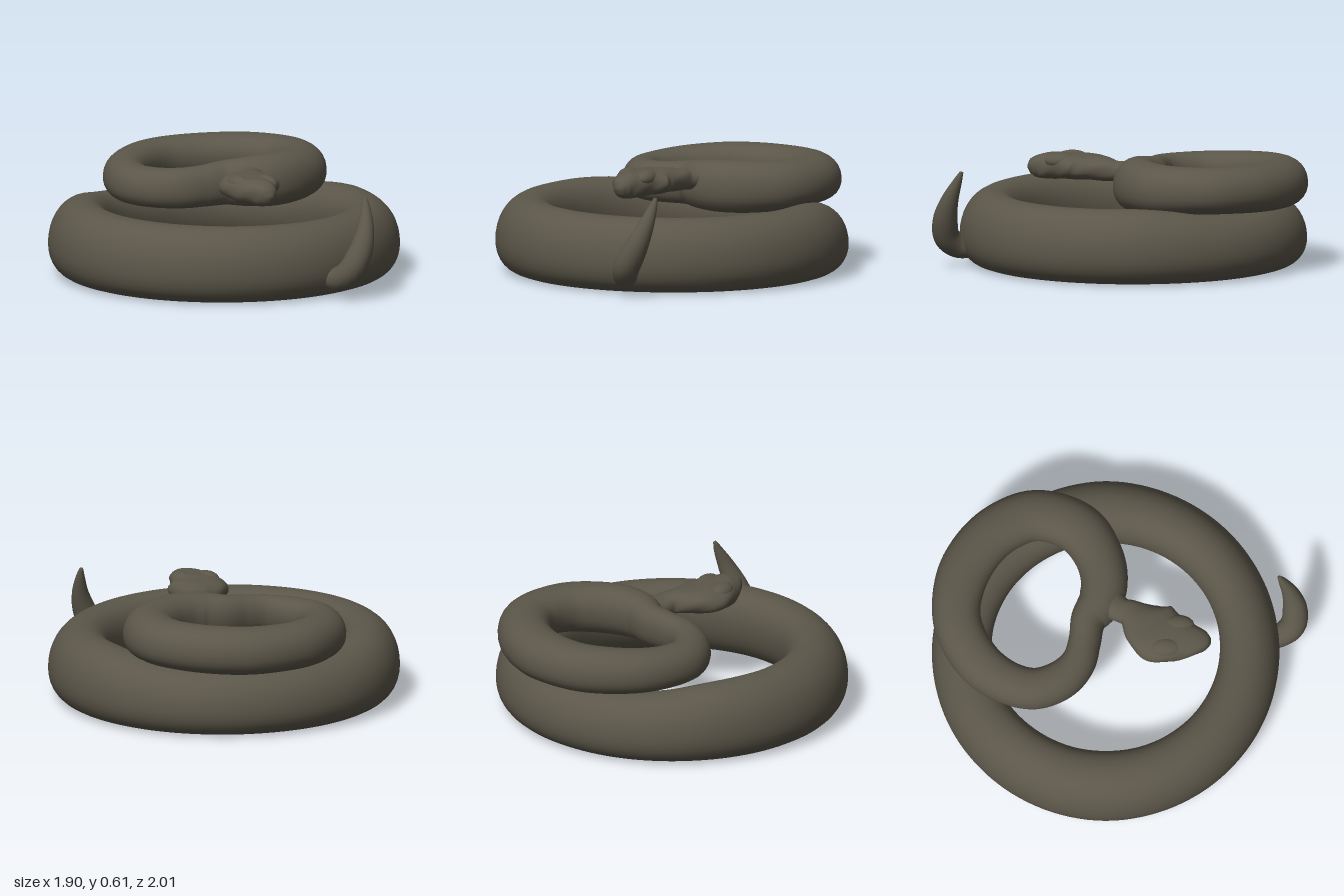
import * as THREE from 'three';

const scales = new THREE.MeshStandardMaterial({ color: 0x5b5649 });
scales.name = 'dark olive scales';

// Sweeps a rounded cross-section along stations [x, y, z, halfWidth, halfHeight].
function sweep(name, stations, { closed = false, steps = 80, sides = 28, power = 1, lean = 0, ref = [0, 1, 0], lumps = 0 } = {}) {
  const path = new THREE.CatmullRomCurve3(stations.map(s => new THREE.Vector3(s[0], s[1], s[2])), closed, 'catmullrom');
  const size = new THREE.CatmullRomCurve3(stations.map(s => new THREE.Vector3(s[3], s[4], 0)), closed, 'catmullrom');
  const up = new THREE.Vector3(...ref);
  const soft = v => Math.sign(v) * Math.abs(v) ** power;
  const pos = [], idx = [];
  const rings = closed ? steps : steps + 1;
  for (let i = 0; i < rings; i++) {
    const t = i / steps;
    const c = path.getPoint(t), T = path.getTangent(t), r = size.getPoint(t);
    const side = up.clone().cross(T).normalize();
    const top = T.clone().cross(side);
    for (let j = 0; j < sides; j++) {
      const a = (j / sides) * Math.PI * 2;
      const u = soft(Math.cos(a)), v = soft(Math.sin(a));
      const bump = 1 + lumps * Math.sin(t * 23 + a) * Math.sin(a * 3 + t * 9);
      const p = c.clone()
        .addScaledVector(side, (u * r.x - lean * v) * bump)
        .addScaledVector(top, v * r.y * bump);
      pos.push(p.x, p.y, p.z);
    }
  }
  for (let i = 0; i < steps; i++) {
    const n = (i + 1) % rings;
    for (let j = 0; j < sides; j++) {
      const k = (j + 1) % sides;
      const a = i * sides + j, b = i * sides + k, c = n * sides + k, d = n * sides + j;
      idx.push(a, b, d, b, c, d);
    }
  }
  // Close the open ends with a fan
  if (!closed) {
    const end = pos.length / 3;
    for (const t of [0, 1]) pos.push(...path.getPoint(t).toArray());
    for (let j = 0; j < sides; j++) {
      const k = (j + 1) % sides, last = steps * sides;
      idx.push(end, k, j, end + 1, last + j, last + k);
    }
  }
  const geo = new THREE.BufferGeometry();
  geo.setAttribute('position', new THREE.Float32BufferAttribute(pos, 3));
  geo.setIndex(idx);
  geo.computeVertexNormals();
  const mesh = new THREE.Mesh(geo, scales);
  mesh.name = name;
  return mesh;
}

export function createModel() {
  const model = new THREE.Group();
  model.name = 'coiledSnake';

  // Lower coil: a thick ring that dips at the back left, under the upper coil
  const ring = [];
  for (let i = 0; i < 24; i++) {
    const a = (i / 24) * Math.PI * 2;
    const dip = THREE.MathUtils.smoothstep(-Math.sin(a - 0.3), 0.3, 0.92);
    const ry = 0.2 - 0.003 * Math.sin(a) - 0.003 * Math.cos(a) - 0.03 * dip;
    const rx = 0.168 - 0.012 * Math.abs(Math.sin(a));
    ring.push([0.778 * Math.cos(a), ry + 0.003, -0.073 + 0.768 * Math.sin(a), rx, ry]);
  }
  model.add(sweep('lowerCoil', ring, { closed: true, steps: 120, sides: 36, power: 0.94, lean: 0.025 }));

  // Upper coil: right side, back, left side, a sagging front, then the S-bend
  model.add(sweep('upperCoil', [
    [-0.315, 0.452, -0.45, 0.105, 0.105],
    [-0.28, 0.455, -0.60, 0.11, 0.108],
    [-0.18, 0.46, -0.74, 0.12, 0.114],
    [-0.02, 0.465, -0.84, 0.125, 0.12],
    [0.15, 0.467, -0.87, 0.13, 0.122],
    [0.36, 0.468, -0.82, 0.14, 0.124],
    [0.54, 0.475, -0.69, 0.14, 0.124],
    [0.645, 0.48, -0.51, 0.14, 0.122],
    [0.645, 0.48, -0.35, 0.14, 0.125],
    [0.57, 0.475, -0.20, 0.14, 0.132],
    [0.43, 0.472, -0.11, 0.132, 0.138],
    [0.29, 0.472, -0.08, 0.125, 0.138],
    [0.17, 0.472, -0.105, 0.114, 0.13],
    [0.07, 0.468, -0.165, 0.092, 0.118],
    [-0.05, 0.46, -0.185, 0.085, 0.11],
    [-0.17, 0.455, -0.22, 0.09, 0.107],
    [-0.265, 0.452, -0.31, 0.1, 0.105],
  ], { closed: true, steps: 120, power: 0.92, lean: 0.01 }));

  // Neck and wedge-shaped head
  model.add(sweep('head', [
    [0.18, 0.505, -0.09, 0.09, 0.07],
    [0.115, 0.51, 0.0, 0.068, 0.055],
    [0.085, 0.515, 0.06, 0.08, 0.058],
    [0.025, 0.52, 0.13, 0.13, 0.064],
    [-0.022, 0.52, 0.2, 0.16, 0.068],
    [-0.05, 0.52, 0.28, 0.14, 0.07],
    [-0.062, 0.52, 0.36, 0.105, 0.068],
    [-0.067, 0.512, 0.43, 0.068, 0.062],
    [-0.067, 0.5, 0.465, 0.04, 0.045],
    [-0.066, 0.492, 0.482, 0.012, 0.018],
  ], { steps: 48, power: 0.88, lumps: 0.04 }));

  // Soft brow ridges sunk into the head
  const brow = new THREE.SphereGeometry(1, 16, 12);
  for (const [x, z] of [[-0.115, 0.25], [0.01, 0.31]]) {
    const m = new THREE.Mesh(brow, scales);
    m.name = 'brow';
    m.position.set(x, 0.553, z);
    m.scale.set(0.055, 0.042, 0.09);
    model.add(m);
  }

  // Upturned tail tip leaving the front of the lower coil
  model.add(sweep('tail', [
    [0.10, 0.13, 0.74, 0.06, 0.08],
    [0.11, 0.11, 0.85, 0.065, 0.065],
    [0.15, 0.165, 0.925, 0.07, 0.07],
    [0.205, 0.27, 0.937, 0.066, 0.063],
    [0.25, 0.38, 0.914, 0.047, 0.045],
    [0.277, 0.48, 0.875, 0.025, 0.025],
    [0.286, 0.535, 0.852, 0.01, 0.01],
  ], { steps: 40, sides: 20, ref: [1, 0, 0] }));

  return model;
}
